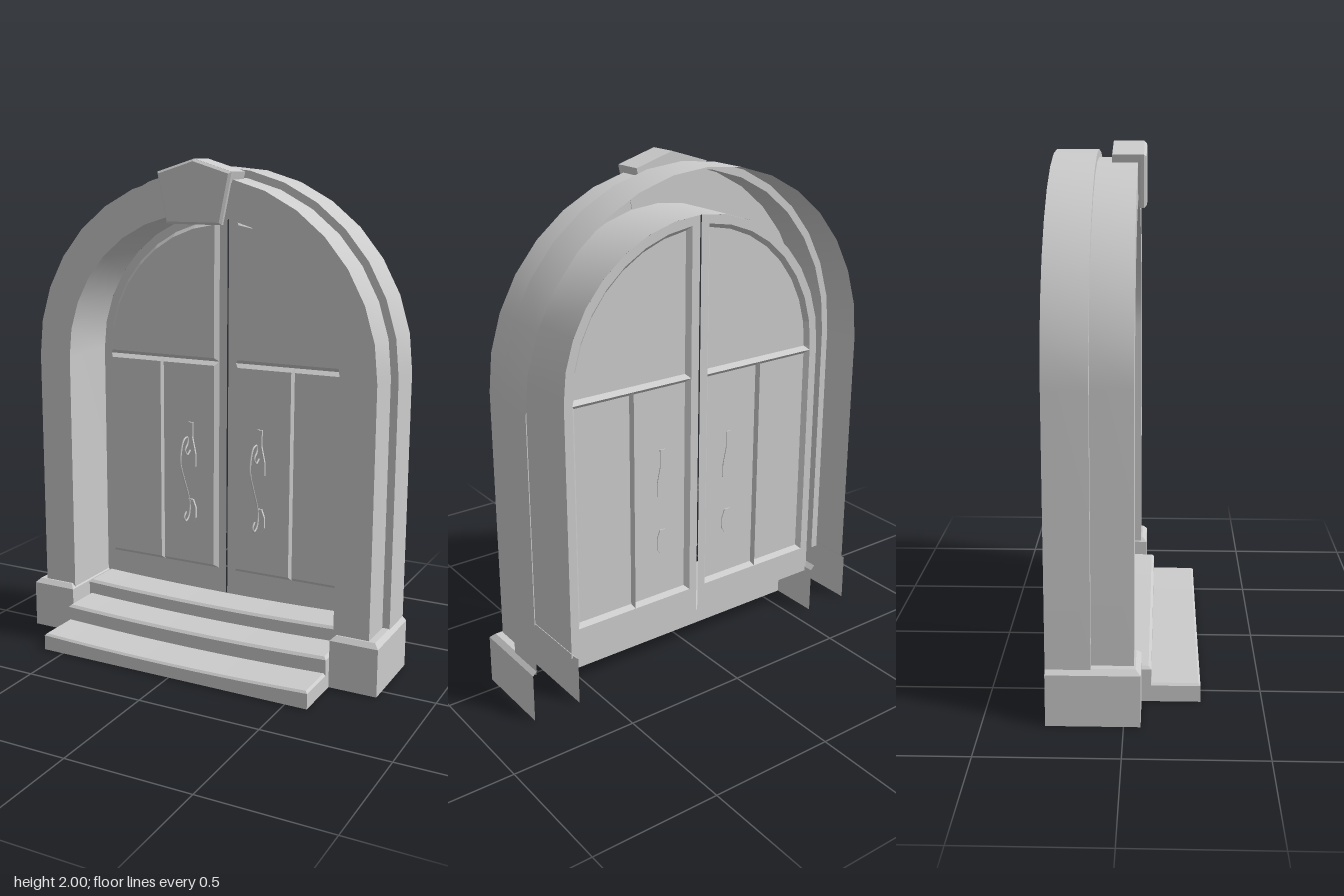
import * as THREE from 'three';

const mat = new THREE.MeshStandardMaterial({ color: 0xcccccc, side: THREE.DoubleSide });
const SPRING = 1.2; // height where the arch starts to curve

function mesh(geometry, name, parent) {
  const m = new THREE.Mesh(geometry, mat);
  m.name = name;
  parent.add(m);
  return m;
}

// Strip of quads between two rows of points
function strip(a, b, closed) {
  const pos = [], idx = [], n = a.length;
  for (const p of [...a, ...b]) pos.push(p.x, p.y, p.z);
  for (let i = 0; i < (closed ? n : n - 1); i++) {
    const j = (i + 1) % n;
    idx.push(i, j, n + i, j, n + j, n + i);
  }
  const g = new THREE.BufferGeometry();
  g.setAttribute('position', new THREE.Float32BufferAttribute(pos, 3));
  g.setIndex(idx);
  g.computeVertexNormals();
  return g;
}

// Stone block, open at the back and bottom, with a chamfered and optionally worn top
function stone([x0, x1], [y0, y1], [z0, z1], chamfer, sag, openFaces) {
  const w = x1 - x0, h = y1 - y0, d = z1 - z0;
  let g = new THREE.BoxGeometry(w, h, d, sag ? 10 : 1, 2, 1);
  const idx = Array.from(g.index.array), keep = [];
  g.groups.forEach((f, i) => {
    if (!openFaces.includes(i)) keep.push(...idx.slice(f.start, f.start + f.count));
  });
  g.setIndex(keep);
  g.clearGroups();
  const p = g.attributes.position;
  for (let i = 0; i < p.count; i++) {
    let x = p.getX(i), y = p.getY(i), z = p.getZ(i);
    const worn = sag * (1 - (2 * x / w) ** 2);
    if (y > h / 4) {
      x *= 1 - 2 * chamfer / w;
      if (z > 0) z -= chamfer;
      y -= worn;
    } else if (y > -h / 4) y = h / 2 - chamfer - worn;
    p.setXYZ(i, x + (x0 + x1) / 2, y + (y0 + y1) / 2, z + (z0 + z1) / 2);
  }
  g = g.toNonIndexed();
  g.computeVertexNormals();
  return g;
}

// Horseshoe path of the arch at radius r and depth z
function archRow(r, z) {
  const row = [new THREE.Vector3(r, 0.19, z)];
  for (let i = 0; i <= 16; i++) {
    const a = i / 16 * Math.PI;
    row.push(new THREE.Vector3(r * Math.cos(a), SPRING + r * Math.sin(a), z));
  }
  row.push(new THREE.Vector3(-r, 0.19, z));
  return row;
}

// Outline of a door part: straight sides under a quarter arch
function archOutline(r, x0, y0) {
  const pts = [new THREE.Vector2(x0, y0), new THREE.Vector2(r, y0)];
  const end = Math.acos(x0 / r);
  for (let i = 0; i <= 8; i++) {
    const a = end * i / 8;
    pts.push(new THREE.Vector2(r * Math.cos(a), SPRING + r * Math.sin(a)));
  }
  return pts;
}

const rect = (x0, x1, y0, y1) =>
  [[x0, y0], [x1, y0], [x1, y1], [x0, y1]].map(p => new THREE.Vector2(...p));

const at = (pts, z) => pts.map(p => new THREE.Vector3(p.x, p.y, z));

function plate(points, x, z, depth) {
  const shape = new THREE.Shape(points.map(([a, b]) => new THREE.Vector2(a, b)));
  return new THREE.ExtrudeGeometry(shape, { depth, bevelEnabled: false }).translate(x, 0, z);
}

function doorLeaf() {
  const leaf = new THREE.Group();
  const zFrame = -0.235, zPanel = -0.217;

  // Flat frame around the panels
  const shape = new THREE.Shape(archOutline(0.595, 0.003, 0.175));
  shape.holes.push(new THREE.Path(archOutline(0.56, 0.038, 0.29)));
  mesh(new THREE.ShapeGeometry(shape).translate(0, 0, zFrame), 'doorFrame', leaf);

  // Raised panels with bevelled rims, meeting in V grooves
  const e = 0.016;
  const panels = [
    ['upperPanel', archOutline(0.56, 0.038, 1.183), archOutline(0.56 - e, 0.038 + e, 1.183 + e)],
    ['innerPanel', rect(0.038, 0.3, 0.29, 1.183), rect(0.038 + e, 0.3 - e / 2, 0.29 + e, 1.183 - e)],
    ['outerPanel', rect(0.3, 0.56, 0.29, 1.183), rect(0.3 + e / 2, 0.56 - e, 0.29 + e, 1.183 - e)],
  ];
  for (const [name, rim, field] of panels) {
    const bevel = strip(at(rim, zFrame), at(field, zPanel), true).toNonIndexed();
    bevel.computeVertexNormals();
    mesh(bevel, name + 'Bevel', leaf);
    mesh(new THREE.ShapeGeometry(new THREE.Shape(field)).translate(0, 0, zPanel), name, leaf);
  }

  // Handle: two back plates and a scrolled grip
  const hx = 0.16;
  const handle = new THREE.Group();
  handle.name = 'doorHandle';
  leaf.add(handle);
  mesh(plate([[-0.025, 0.73], [0.025, 0.73], [0.024, 0.785], [0.009, 0.855], [0.011, 0.92],
    [-0.011, 0.92], [-0.009, 0.855], [-0.024, 0.785]], hx, zPanel - 0.004, 0.014), 'upperHandlePlate', handle);
  mesh(plate([[-0.012, 0.485], [0.012, 0.485], [0.025, 0.505], [0.025, 0.55], [0.012, 0.585],
    [-0.012, 0.585], [-0.025, 0.55], [-0.025, 0.505]], hx, zPanel - 0.004, 0.014), 'lowerHandlePlate', handle);
  const path = [[0.8, -0.205], [0.785, -0.18], [0.81, -0.162], [0.835, -0.185], [0.86, -0.185], [0.855, -0.15],
    [0.8, -0.125], [0.75, -0.125], [0.68, -0.155], [0.6, -0.192], [0.55, -0.203], [0.51, -0.19],
    [0.5, -0.165], [0.52, -0.152], [0.54, -0.17]];
  const curve = new THREE.CatmullRomCurve3(path.map(([y, z]) => new THREE.Vector3(hx, y, z)));
  mesh(new THREE.TubeGeometry(curve, 48, 0.004, 6), 'handleGrip', handle);
  return leaf;
}

export function createModel() {
  const model = new THREE.Group();
  model.name = 'archedDoorway';

  // Stepped stone arch, open at the back: [radius, depth] profile swept along the horseshoe
  const arch = new THREE.Group();
  arch.name = 'stoneArch';
  model.add(arch);
  const profile = [[0.595, -0.235], [0.595, 0.035], [0.74, 0.035], [0.74, -0.115], [0.77, -0.115], [0.77, -0.275]];
  const names = ['archReveal', 'archFace', 'archOuterSide', 'archLedge', 'archBackBand'];
  names.forEach((name, i) => mesh(strip(archRow(...profile[i]), archRow(...profile[i + 1])), name, arch));

  // Keystone: tapered front slab and a gabled cap running back over the arch
  const keystone = new THREE.Group();
  keystone.name = 'keystone';
  model.add(keystone);
  const front = [[-0.11, 1.765], [0.11, 1.765], [0.148, 1.945], [0, 1.99], [-0.148, 1.945]];
  const slab = new THREE.ExtrudeGeometry(new THREE.Shape(front.map(p => new THREE.Vector2(...p))),
    { depth: 0.014, bevelSize: 0.009, bevelThickness: 0.009, bevelSegments: 1 });
  mesh(slab.translate(0, 0, 0.043), 'keystoneFace', keystone);
  mesh(plate([[-0.148, 1.91], [0.148, 1.91], [0.158, 1.952], [0, 2], [-0.158, 1.952]], 0, -0.06, 0.115),
    'keystoneCap', keystone);

  // Plinths (open top, ledge up to the arch) and door leaves, mirrored
  for (const s of [1, -1]) {
    const side = s > 0 ? 'left' : 'right';
    const x = s > 0 ? [0.59, 0.785] : [-0.785, -0.59];
    mesh(stone(x, [0, 0.21], [-0.275, 0.06], 0.018, 0, [2, 3, 5]), side + 'Plinth', model);
    const ledge = pts => pts.map(([px, z]) => new THREE.Vector3(s * px, 0.21, z));
    mesh(strip(ledge([[0.767, -0.115], [0.767, 0.042], [0.608, 0.042]]),
      ledge([[0.74, -0.115], [0.74, 0.035], [0.608, 0.035]])), side + 'PlinthLedge', model);
    const leaf = doorLeaf();
    leaf.name = side + 'DoorLeaf';
    leaf.scale.x = s;
    model.add(leaf);
  }

  // Worn steps
  const steps = [
    ['lowerStep', 0.07, 0.09, 0.275, 0.008],
    ['middleStep', 0.135, -0.07, 0.095, 0.01],
    ['doorSill', 0.195, -0.235, -0.07, 0.01],
  ];
  for (const [name, top, back, front, chamfer] of steps)
    mesh(stone([-0.59, 0.59], [0, top], [back, front], chamfer, 0.012, [3, 5]), name, model);
  return model;
}
